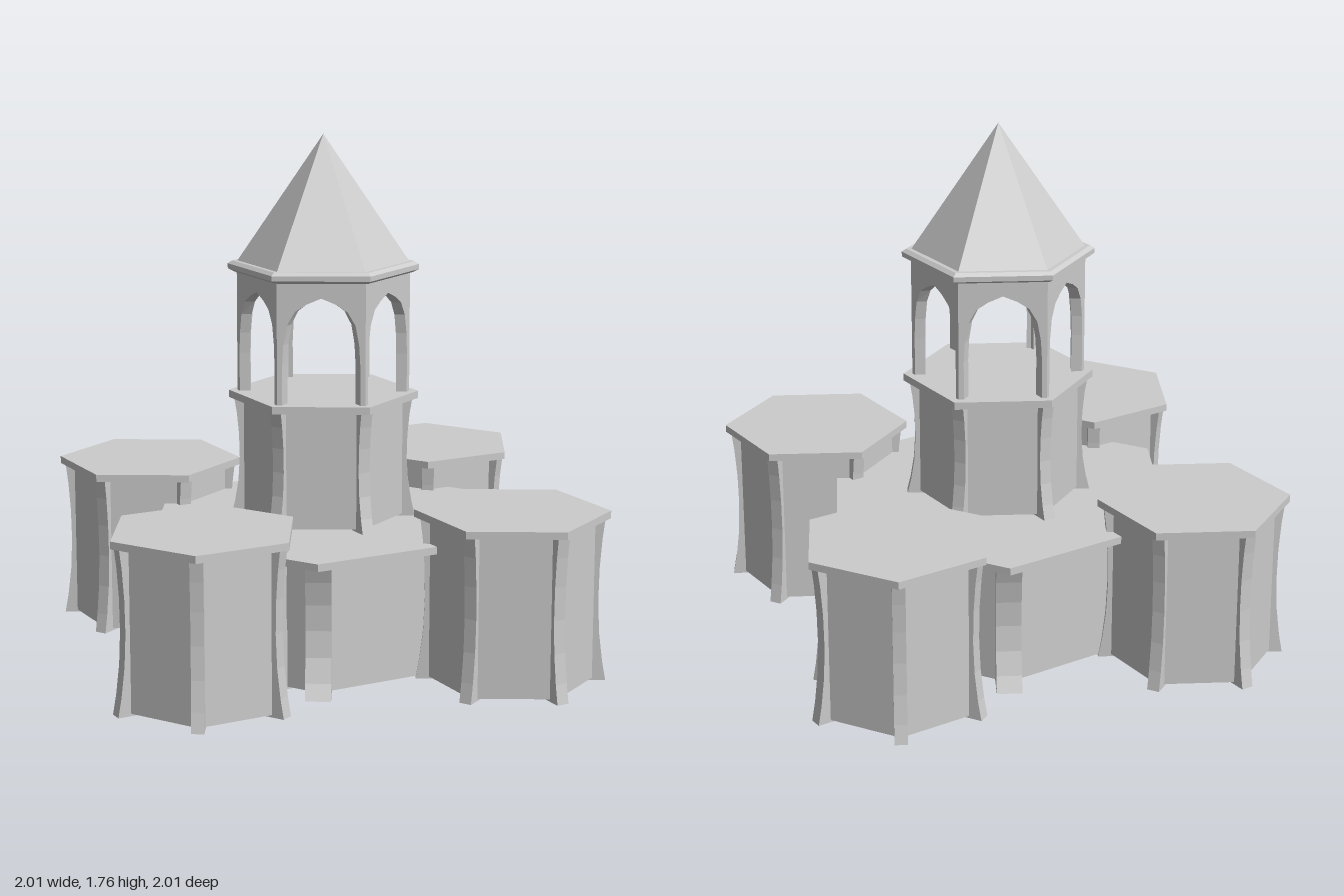
import * as THREE from 'three';

const STEP = Math.PI / 3;
const mat = new THREE.MeshStandardMaterial({ color: 0xcccccc, flatShading: true, side: THREE.DoubleSide });

function add(parent, geometry, name, y = 0) {
  const mesh = new THREE.Mesh(geometry, mat);
  mesh.name = name;
  mesh.position.y = y;
  parent.add(mesh);
  return mesh;
}

const hexPrism = (r, h) => new THREE.CylinderGeometry(r, r, h, 6);

// Corner buttress: hollowed outer edge, flaring to foot and head
function buttressGeometry(s, h) {
  const outer = [[0.312, 0], [0.3, 0.12], [0.288, 0.3], [0.283, 0.5], [0.285, 0.7], [0.292, 0.88], [0.3, 1]];
  const pts = outer.map(([r, t]) => new THREE.Vector2(r * s, t * h));
  pts.push(new THREE.Vector2(0.24 * s, h), new THREE.Vector2(0.24 * s, 0));
  const w = 0.042 * s;
  return new THREE.ExtrudeGeometry(new THREE.Shape(pts), { depth: w, bevelEnabled: false }).translate(0, 0, -w / 2);
}

// Six-sided storey with walls, buttresses and an overhanging flat roof
function storey(name, s, base, top) {
  const g = new THREE.Group();
  g.name = name;
  const slab = 0.025, lift = 0.008, h = top - base - slab;
  add(g, hexPrism(0.28 * s, h - lift), 'walls', base + lift + (h - lift) / 2);
  add(g, hexPrism(0.32 * s, slab), 'flatRoof', top - slab / 2);
  const post = buttressGeometry(s, h);
  for (let k = 0; k < 6; k++) add(g, post, 'buttress', base).rotation.y = Math.PI / 6 + k * STEP;
  return g;
}

// One belfry side: a panel open at the foot with a faceted arch, mitred at its ends
function archPanel(radius, h, thickness) {
  const half = radius / 2, apothem = radius * Math.cos(Math.PI / 6);
  const arch = [[0.128, 0], [0.128, 0.13], [0.124, 0.2], [0.112, 0.265], [0.086, 0.31], [0.048, 0.335]];
  const pts = [[half, 0], [half, h], [-half, h], [-half, 0],
    ...arch.map(([x, y]) => [-x, y]), [0, 0.355], ...arch.slice().reverse()];
  const geo = new THREE.ExtrudeGeometry(new THREE.Shape(pts.map(p => new THREE.Vector2(...p))),
    { depth: thickness, bevelEnabled: false }).translate(0, 0, apothem - thickness);
  const pos = geo.attributes.position;
  for (let i = 0; i < pos.count; i++) pos.setX(i, pos.getX(i) * pos.getZ(i) / apothem);
  geo.computeVertexNormals();
  return geo;
}

export function createModel() {
  const model = new THREE.Group();
  model.name = 'hexagonalTowerBuilding';

  // Broad central hall and the storey above it
  const hall = storey('centralHall', 2, 0, 0.46);
  hall.rotation.y = Math.PI / 6;
  model.add(hall, storey('centralTower', 1, 0.46, 0.89));

  // Four outer towers, each with a flat side facing outward
  ['front', 'left', 'back', 'right'].forEach((side, i) => {
    const tower = storey(side + 'Tower', 1, 0, 0.57);
    const a = i * Math.PI / 2;
    tower.position.set(0.723 * Math.sin(a), 0, 0.723 * Math.cos(a));
    tower.rotation.y = i % 2 ? 0 : Math.PI / 6;
    model.add(tower);
  });

  // Open belfry
  const belfry = new THREE.Group();
  belfry.name = 'belfry';
  model.add(belfry);
  const panel = archPanel(0.29, 0.415, 0.032);
  for (let k = 0; k < 6; k++) add(belfry, panel, 'archPanel', 0.89).rotation.y = Math.PI / 6 + k * STEP;

  // Eaves ring and hollow spire
  const eaves = [[0.25, 1.3], [0.3, 1.295], [0.32, 1.305], [0.32, 1.322], [0.305, 1.332], [0.25, 1.332], [0.25, 1.3]];
  add(belfry, new THREE.LatheGeometry(eaves.map(p => new THREE.Vector2(...p)), 6), 'eaves');
  add(belfry, new THREE.ConeGeometry(0.29, 0.428, 6, 1, true), 'spire', 1.328 + 0.214);
  return model;
}
